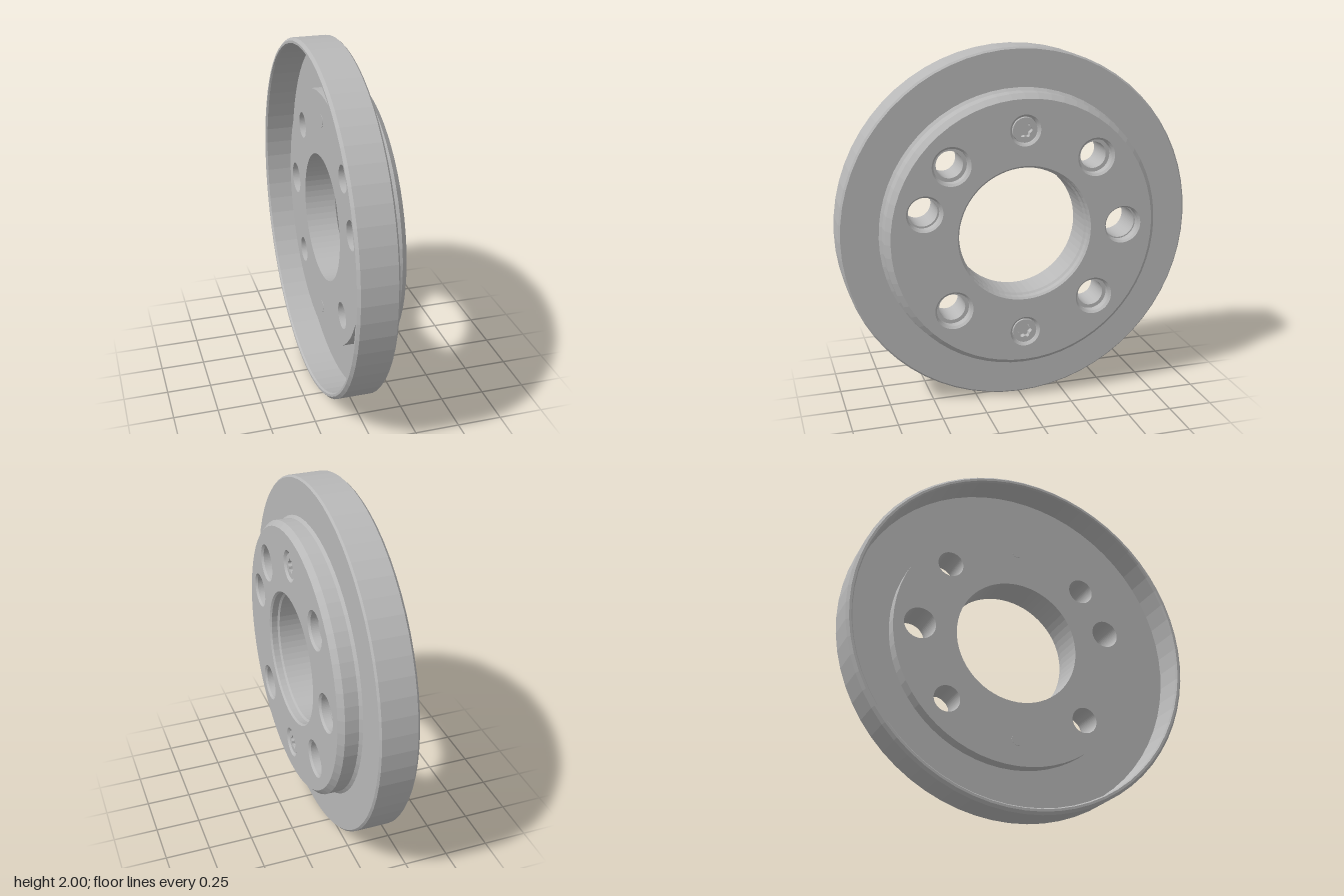
import * as THREE from 'three';
import { toCreasedNormals } from 'three/addons/utils/BufferGeometryUtils.js';

const SEG = 64;
const FRONT = 0.165; // hub face toward +x
const BACK = -0.07;  // hub face toward -x

// Through holes: position across the disc, entry radius, counterbore radius, through radius
const HOLES = [
  ...[[1, 1], [1, -1], [-1, 1], [-1, -1]].map(([a, b]) => ({ z: a * 0.405, y: b * 0.403, r: [0.107, 0.095, 0.074] })),
  { z: 0.555, y: 0.155, r: [0.1, 0.09, 0.08] },
  { z: -0.57, y: 0.005, r: [0.107, 0.097, 0.09] },
];
const SCREWS = [{ z: 0, y: 0.573 }, { z: 0, y: -0.573 }];
const SCREW_R = 0.086;

export function createModel() {
  const group = new THREE.Group();
  const steel = new THREE.MeshStandardMaterial({ color: 0xb8b8b8 });
  steel.name = 'steel grey';

  const add = (name, geometry) => {
    const mesh = new THREE.Mesh(geometry, steel);
    mesh.name = name;
    mesh.position.y = 1;
    group.add(mesh);
  };

  // Turned surface about the x axis; profile points are [radius, x]
  const turned = (profile, z = 0, y = 0) => {
    const g = new THREE.LatheGeometry(profile.map(([r, x]) => new THREE.Vector2(r, x)), SEG);
    g.rotateZ(-Math.PI / 2).translate(0, y, z);
    return toCreasedNormals(g, 0.05);
  };

  // Flat hub face at x, looking along side (+1 or -1), pierced by circles
  const face = (x, side, radius, circles) => {
    const shape = new THREE.Shape().absarc(0, 0, radius, 0, Math.PI * 2, false);
    for (const c of circles) {
      shape.holes.push(new THREE.Path().absarc(-side * c.z, c.y, c.r, 0, Math.PI * 2, true));
    }
    return new THREE.ShapeGeometry(shape, SEG / 2).rotateY(side * Math.PI / 2).translate(x, 0, 0);
  };

  // Rim, hollow back and stepped hub
  add('flangedBody', turned([
    [0.72, BACK], [0.72, 0.005], [0.965, 0.005], [0.965, -0.16], [0.972, -0.17], [0.985, -0.17],
    [1, -0.155], [1, 0.035], [0.99, 0.045], [0.785, 0.045], [0.77, 0.06], [0.77, 0.135], [0.742, FRONT],
  ]));

  // Central bore with a shallow step near the front
  add('centreBore', turned([[0.38, FRONT], [0.37, 0.155], [0.37, 0.12], [0.36, 0.11], [0.36, BACK]]));

  add('hubFrontFace', face(FRONT, 1, 0.742, [
    { z: 0, y: 0, r: 0.38 },
    ...HOLES.map((h) => ({ z: h.z, y: h.y, r: h.r[0] })),
    ...SCREWS.map((s) => ({ ...s, r: SCREW_R })),
  ]));
  add('hubBackFace', face(BACK, -1, 0.72, [
    { z: 0, y: 0, r: 0.36 },
    ...HOLES.map((h) => ({ z: h.z, y: h.y, r: h.r[2] })),
  ]));

  // Counterbored bolt holes
  for (const { z, y, r } of HOLES) {
    add('boltHole', turned([[r[0], FRONT], [r[1], 0.153], [r[1], 0.11], [r[2], 0.11], [r[2], BACK]], z, y));
  }

  // Sunken screws with star sockets, and their tips at the back
  for (const { z, y } of SCREWS) {
    add('screwRecess', turned([[SCREW_R, FRONT], [0.073, 0.152], [0.073, 0.12], [0, 0.12]], z, y));
    const head = new THREE.Shape().absarc(0, 0, 0.068, 0, Math.PI * 2, false);
    const star = [];
    for (let i = 0; i < 36; i++) {
      const a = (i / 36) * Math.PI * 2;
      const r = 0.037 + 0.005 * Math.cos(6 * a);
      star.push(new THREE.Vector2(r * Math.cos(a), r * Math.sin(a)));
    }
    head.holes.push(new THREE.Path(star.reverse()));
    add('screwHead', new THREE.ExtrudeGeometry(head, { depth: 0.035, bevelEnabled: false, curveSegments: 16 })
      .rotateY(Math.PI / 2).translate(0.12, y, z));
    add('screwTip', turned([[0, BACK - 0.002], [0.035, BACK - 0.002], [0.035, BACK]], z, y));
  }

  return group;
}
